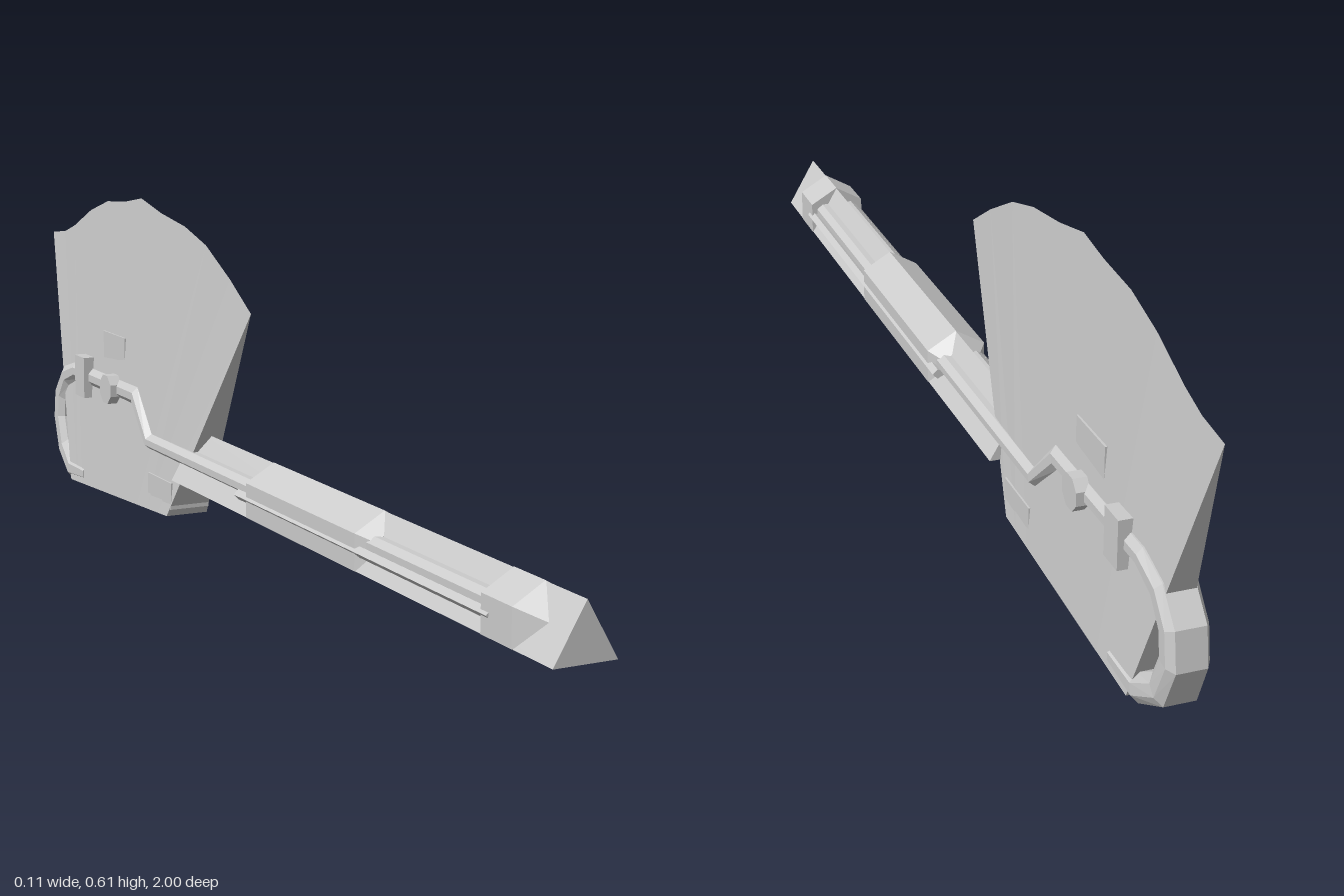
import * as THREE from 'three';

const material = new THREE.MeshStandardMaterial({ color: 0xcccccc, flatShading: true });

// Skins a row of equal-length rings, closes both ends and turns the faces outward
function loft(name, rings) {
  const n = rings[0].length, m = rings.length, pts = rings.flat(), tris = [];
  for (let i = 0; i < m - 1; i++) {
    for (let j = 0; j < n; j++) {
      const a = i * n + j, b = i * n + (j + 1) % n;
      tris.push([a, b, b + n], [a, b + n, a + n]);
    }
  }
  const last = (m - 1) * n;
  for (let j = 1; j < n - 1; j++) tris.push([0, j + 1, j], [last, last + j, last + j + 1]);
  const v = pts.map((p) => new THREE.Vector3(...p));
  const cross = new THREE.Vector3();
  const volume = tris.reduce((s, [a, b, c]) => s + v[a].dot(cross.crossVectors(v[b], v[c])), 0);
  if (volume < 0) tris.forEach((t) => t.reverse());
  const geometry = new THREE.BufferGeometry();
  geometry.setAttribute('position', new THREE.Float32BufferAttribute(pts.flat(), 3));
  geometry.setIndex(tris.flat());
  const flat = geometry.toNonIndexed();
  flat.computeVertexNormals();
  const mesh = new THREE.Mesh(flat, material);
  mesh.name = name;
  return mesh;
}

// Sweeps a bevelled section along a path of [z, y, halfWidth, halfThickness]
function sweep(name, path) {
  const section = [[1, -0.4], [1, 0.4], [0.72, 1], [-0.72, 1], [-1, 0.4], [-1, -0.4], [-0.72, -1], [0.72, -1]];
  const dir = (a, b) => new THREE.Vector2(b[0] - a[0], b[1] - a[1]).normalize();
  return loft(name, path.map((p, i) => {
    const t0 = i > 0 ? dir(path[i - 1], p) : dir(p, path[1]);
    const t1 = i < path.length - 1 ? dir(p, path[i + 1]) : t0;
    const t = t0.clone().add(t1).normalize();
    const mitre = 1 / t.dot(t0);
    return section.map(([u, v]) => [u * p[2], p[1] + v * p[3] * mitre * t.x, p[0] - v * p[3] * mitre * t.y]);
  }));
}

// Six-sided sleeve around the shaft, pinched at the listed [z, scale] stations
function sleeve(name, stations) {
  const hex = [[0, 0.206], [0.053, 0.175], [0.053, 0.115], [0, 0.088], [-0.053, 0.115], [-0.053, 0.175]];
  return loft(name, stations.map(([z, s]) => hex.map(([x, y]) => [x * s, 0.15 + (y - 0.15) * s, z])));
}

function box(name, w, h, d, y, z) {
  const mesh = new THREE.Mesh(new THREE.BoxGeometry(w, h, d), material);
  mesh.position.set(0, y, z);
  mesh.name = name;
  return mesh;
}

export function createModel() {
  const axe = new THREE.Group();
  axe.name = 'axe';

  // Triangular shaft
  axe.add(loft('shaft', [1, -0.26].map((z) => [[0, 0.205, z], [0.052, 0.115, z], [-0.052, 0.115, z]])));

  // Grip sleeves
  axe.add(sleeve('mainGrip', [[0.48, 0.62], [0.45, 1], [0.06, 1], [0.03, 0.62]]));
  axe.add(sleeve('endGrip', [[0.95, 0.45], [0.9, 1], [0.82, 1]]));

  // Thin ridges along the shaft sides
  for (const side of [1, -1]) {
    axe.add(loft('sideRidge', [0.84, 0.02].map((z) => [
      [side * 0.057, 0.147, z], [side * 0.048, 0.156, z], [side * 0.03, 0.147, z], [side * 0.048, 0.138, z]])));
  }

  // Wedge blade, sharp along the top curve and thick at the bottom
  const edge = [[-0.03, 0.45], [-0.115, 0.5], [-0.217, 0.55], [-0.31, 0.575], [-0.42, 0.59], [-0.515, 0.61],
    [-0.59, 0.598], [-0.69, 0.59], [-0.78, 0.565], [-0.875, 0.525], [-0.93, 0.508], [-1, 0.5]];
  axe.add(loft('blade', edge.map(([z, y]) => {
    const t = (z + 0.03) / -0.97;
    const bz = -0.31 - 0.5 * t, by = 0.035 - 0.03 * t;
    return [[0.041, by, bz], [0, y, z], [-0.041, by, bz]];
  })));

  // Bar running from the shaft over the blade and curling round its heel
  axe.add(sweep('bar', [
    [0.82, 0.158, 0.042, 0.015], [-0.41, 0.158, 0.042, 0.015], [-0.49, 0.232, 0.036, 0.018],
    [-0.81, 0.232, 0.034, 0.018], [-0.87, 0.212, 0.034, 0.022], [-0.905, 0.17, 0.034, 0.025],
    [-0.912, 0.12, 0.034, 0.025], [-0.885, 0.06, 0.036, 0.025], [-0.825, 0.026, 0.042, 0.023],
    [-0.74, 0.03, 0.042, 0.016]]));

  // Clamp and round boss on the bar
  axe.add(box('clamp', 0.088, 0.082, 0.05, 0.232, -0.745));
  const boss = new THREE.Mesh(new THREE.CylinderGeometry(0.03, 0.03, 0.096, 8), material);
  boss.rotation.set(Math.PI / 8, 0, Math.PI / 2, 'XYZ');
  boss.position.set(0, 0.23, -0.595);
  boss.name = 'boss';
  axe.add(boss);

  // Shallow raised panels on the blade
  axe.add(box('upperPanel', 0.044, 0.08, 0.11, 0.295, -0.61));
  axe.add(box('lowerPanel', 0.077, 0.05, 0.11, 0.075, -0.35));

  return axe;
}
